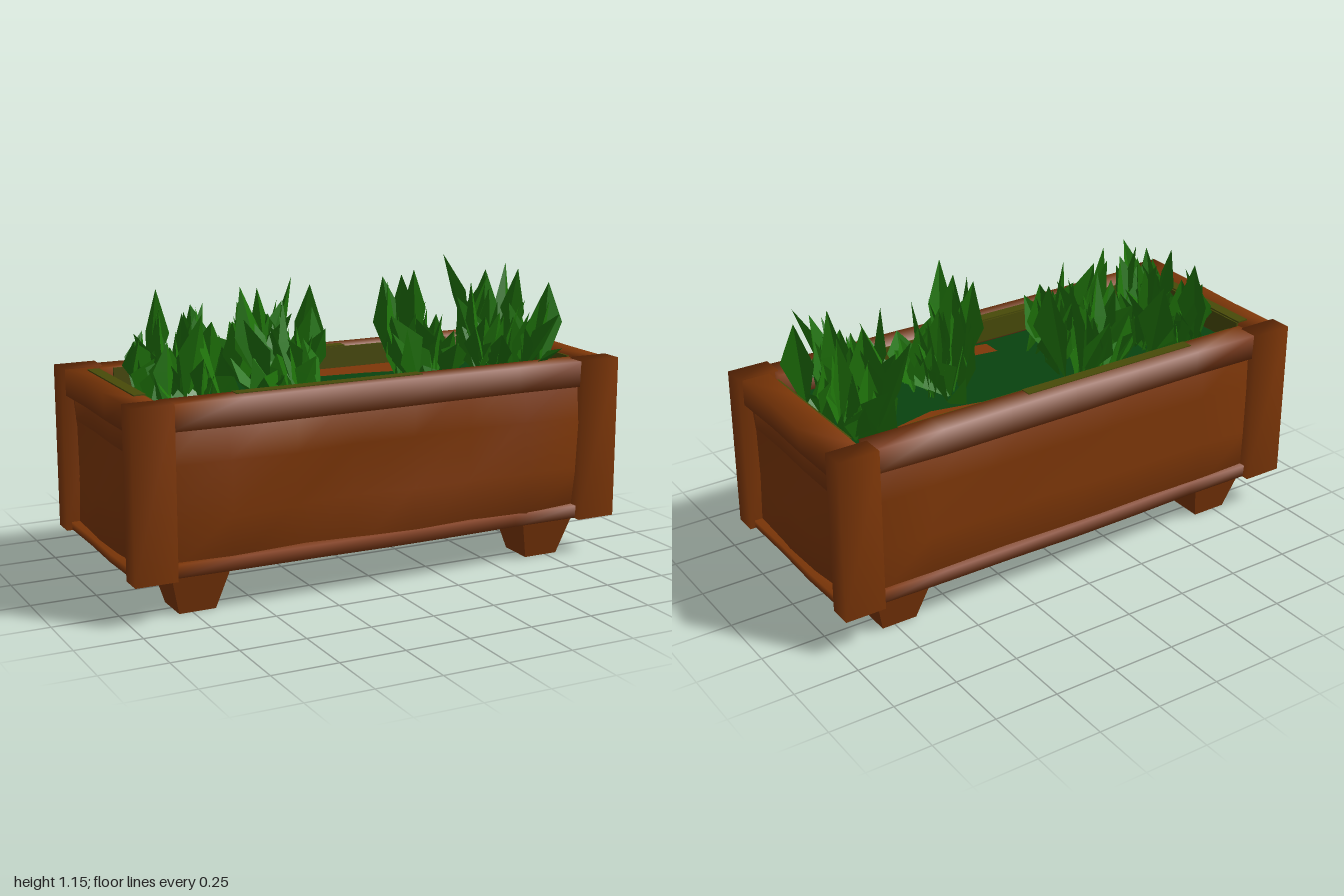
import * as THREE from 'three';
import { mergeGeometries, mergeVertices } from 'three/addons/utils/BufferGeometryUtils.js';

const mat = (name, color, extra = {}) => {
  const m = new THREE.MeshStandardMaterial({ color, ...extra });
  m.name = name;
  return m;
};

// Small seeded generator
function seeded(seed) {
  let s = seed;
  return () => {
    s = (s * 16807) % 2147483647;
    return s / 2147483647;
  };
}

// Share corner vertices so the shading rolls softly around the edges
function soften(g) {
  g.deleteAttribute('normal');
  g.deleteAttribute('uv');
  const merged = mergeVertices(g, 1e-4);
  merged.computeVertexNormals();
  return merged;
}

// Rough-hewn board: outer face (+z) is pushed in and out by a wavy rule
function roughBoard(w, h, d, nx, ny, amount, phase) {
  const g = new THREE.BoxGeometry(w, h, d, nx, ny, 1);
  const p = g.attributes.position;
  for (let i = 0; i < p.count; i++) {
    const x = p.getX(i), y = p.getY(i);
    if (p.getZ(i) > 0) {
      p.setZ(i, d / 2 + amount * Math.sin(x * 7.3 + y * 9.1 + phase) * Math.cos(y * 13.7 - x * 3.1 + phase));
    }
  }
  return soften(g);
}

// Folded leaf between base and tip: a kite widest past its middle
function leafGeometry(base, tip, width, twist) {
  const dir = tip.clone().sub(base).normalize();
  const side = new THREE.Vector3(Math.cos(twist), 0, Math.sin(twist)).cross(dir).normalize();
  const fold = new THREE.Vector3().crossVectors(side, dir).multiplyScalar(width * 0.25);
  const mid = base.clone().lerp(tip, 0.6);
  const a = mid.clone().addScaledVector(side, width / 2).add(fold);
  const b = mid.clone().addScaledVector(side, -width / 2).add(fold);
  const g = new THREE.BufferGeometry().setFromPoints([base, a, mid, base, mid, b, a, tip, mid, mid, tip, b]);
  g.computeVertexNormals();
  return g;
}

export function createModel() {
  const model = new THREE.Group();
  model.name = 'planter';
  const wood = mat('brown wood', 0x7e3708);
  const leaf = mat('leaf green', 0x1f740a, { side: THREE.DoubleSide, flatShading: true });
  const soilMat = mat('dark green soil', 0x08430f);
  const moss = mat('mossy wood', 0x484a08);

  const add = (name, geo, material, x, y, z, ry = 0) => {
    const m = new THREE.Mesh(geo, material);
    m.name = name;
    m.position.set(x, y, z);
    m.rotation.y = ry;
    model.add(m);
  };

  // Corner posts and tapered square feet
  for (const sx of [-1, 1]) {
    for (const sz of [-1, 1]) {
      add('cornerPost', soften(new THREE.BoxGeometry(0.16, 0.635, 0.09)), wood, sx * 0.918, 0.473, sz * 0.38);
      const foot = new THREE.CylinderGeometry(0.165, 0.1, 0.17, 4).rotateY(Math.PI / 4).toNonIndexed();
      foot.computeVertexNormals();
      add('foot', foot, wood, sx * 0.73, 0.085, sz * 0.255);
    }
  }

  // Long walls: wavy recessed panel, rails and moss along the inner rim
  for (const sz of [-1, 1]) {
    const ry = sz > 0 ? 0 : Math.PI;
    const rough = sz > 0 ? 0.028 : 0.006;
    add('longPanel', roughBoard(1.72, 0.6, 0.07, 7, 3, rough, 0.6), wood, 0, 0.46, sz * 0.345, ry);
    add('longTopRail', roughBoard(1.7, 0.1, 0.1, 6, 1, 0.01, 2), wood, 0, 0.735, sz * 0.352, ry);
    add('longBottomRail', roughBoard(1.7, 0.05, 0.1, 6, 1, 0.01, 1), wood, 0, 0.182, sz * 0.35, ry);
    add('longMossStrip', new THREE.BoxGeometry(1.45, 0.085, 0.008), moss, -0.08, 0.74, sz * 0.299);
    add('longMossTop', new THREE.BoxGeometry(0.75, 0.006, 0.045), moss, -0.2, 0.785, sz * 0.322);
  }

  // Short walls: recessed panel, plank, rails and a moss strip
  for (const sx of [-1, 1]) {
    const ry = sx * Math.PI / 2;
    add('endPanel', roughBoard(0.68, 0.6, 0.05, 3, 3, 0.024, 1.7), wood, sx * 0.92, 0.46, 0, ry);
    add('endPlank', roughBoard(0.6, 0.09, 0.05, 3, 1, 0.006, 0), wood, sx * 0.935, 0.64, 0, ry);
    add('endTopRail', roughBoard(0.68, 0.1, 0.11, 3, 1, 0.006, 3), wood, sx * 0.928, 0.735, 0, ry);
    add('endBottomRail', roughBoard(0.68, 0.03, 0.1, 3, 1, 0.006, 1), wood, sx * 0.925, 0.173, 0, ry);
    add('endMossStrip', new THREE.BoxGeometry(0.008, 0.085, 0.55), moss, sx * 0.868, 0.74, 0);
  }
  add('endMossTop', new THREE.BoxGeometry(0.045, 0.006, 0.5), moss, -0.89, 0.787, -0.03);

  // Lumpy underside
  const floor = roughBoard(1.78, 0.7, 0.06, 16, 7, 0.026, 0.4);
  floor.rotateX(Math.PI / 2);
  add('floor', floor, wood, 0, 0.202, 0);

  // Soil bed with bare brown patches
  add('soil', new THREE.BoxGeometry(1.76, 0.06, 0.62), soilMat, 0, 0.66, 0);
  const patches = [
    [[-0.1, -0.3], [0.8, -0.3], [0.62, -0.15], [0.45, -0.11], [0.2, -0.16], [-0.02, -0.18]],
    [[-0.04, 0.19], [0.16, 0.22], [0.5, 0.2], [0.55, 0.3], [0.1, 0.3], [-0.04, 0.27]],
    [[-0.87, 0.18], [-0.68, 0.22], [-0.6, 0.3], [-0.87, 0.3]],
    [[0.83, -0.3], [0.87, -0.3], [0.87, 0.3], [0.83, 0.3]],
  ];
  for (const pts of patches) {
    const g = new THREE.ShapeGeometry(new THREE.Shape(pts.map(([x, z]) => new THREE.Vector2(x, -z))));
    g.rotateX(-Math.PI / 2);
    add('barePatch', g, wood, 0, 0.696, 0);
  }

  // Leafy clumps: base x and z, base half sizes, tip x range, tip z range, tallest tip, leaf count, seed
  const clumps = [
    [-0.65, -0.02, 0.14, 0.2, -0.88, -0.42, -0.31, 0.29, 1.09, 58, 11],
    [-0.24, -0.03, 0.11, 0.2, -0.5, -0.02, -0.35, 0.27, 1.11, 56, 29],
    [0.32, 0.06, 0.1, 0.14, 0.09, 0.5, -0.14, 0.32, 1.14, 40, 47],
    [0.7, 0.02, 0.12, 0.2, 0.5, 0.89, -0.33, 0.36, 1.11, 58, 83],
  ];
  for (const [cx, cz, hw, hd, x0, x1, z0, z1, top, count, seed] of clumps) {
    const rnd = seeded(seed * 7919);
    for (let i = 0; i < 5; i++) rnd();
    const parts = [];
    for (let i = 0; i < count; i++) {
      const u = rnd(), v = rnd(), rise = rnd();
      const base = new THREE.Vector3(cx + (u * 2 - 1) * hw, 0.68, cz + (v * 2 - 1) * hd);
      // Tips fan out within the clump; every tenth leaf stands tall
      const tip = new THREE.Vector3(
        THREE.MathUtils.lerp(x0, x1, u * 0.6 + rnd() * 0.4),
        i % 10 === 0 ? top - rise * 0.06 : 0.78 + rise * 0.24,
        THREE.MathUtils.lerp(z0, z1, v * 0.6 + rnd() * 0.4));
      const width = 0.08 + rnd() * 0.08;
      parts.push(leafGeometry(base, tip, width, rnd() * Math.PI));
    }
    add('leafClump', mergeGeometries(parts), leaf, 0, 0, 0);
  }

  // A few leaves leaning out over the front rim and the top
  const stray = [
    [[0.68, 0.7, 0.2], [0.73, 0.98, 0.41]],
    [[0.7, 0.7, 0.22], [0.76, 0.84, 0.39]],
    [[0.28, 0.75, 0.1], [0.23, 1.15, 0.17]],
    [[0.72, 0.72, -0.2], [0.66, 1.12, -0.35]],
    [[-0.3, 0.7, -0.22], [-0.28, 0.93, -0.37]],
  ].map(([b, t], i) => leafGeometry(new THREE.Vector3(...b), new THREE.Vector3(...t), 0.09, i));
  add('strayLeaves', mergeGeometries(stray), leaf, 0, 0, 0);
  return model;
}
